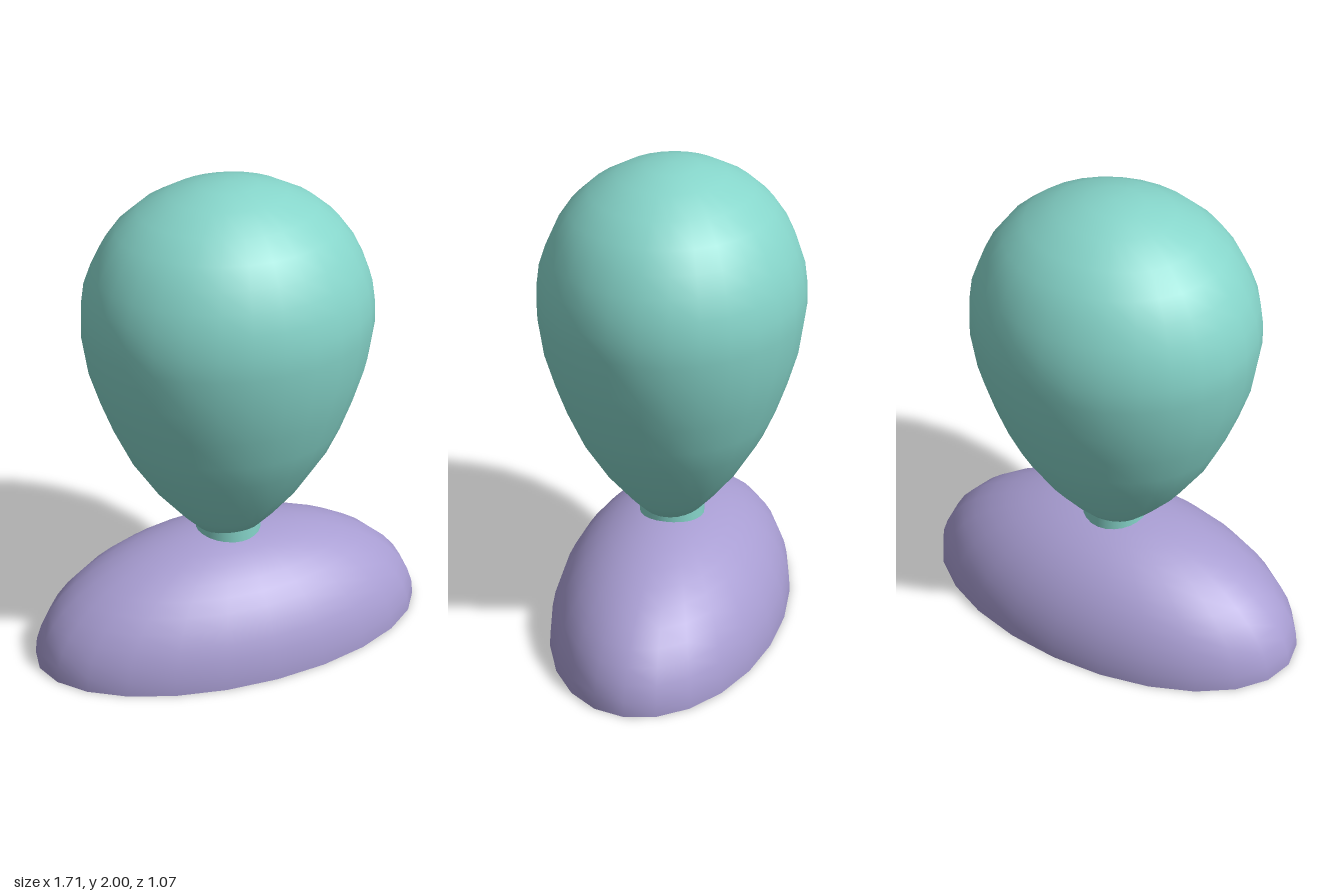
import * as THREE from 'three';

const teal = new THREE.MeshStandardMaterial({ color: 0x86d5ca, side: THREE.DoubleSide });
teal.name = 'teal';
const lavender = new THREE.MeshStandardMaterial({ color: 0xa89dd2, side: THREE.DoubleSide });
lavender.name = 'lavender';

function part(name, geometry, material) {
  const mesh = new THREE.Mesh(geometry, material);
  mesh.name = name;
  return mesh;
}

export function createModel() {
  const group = new THREE.Group();

  // Hollow half-ellipsoid base, open underneath
  const base = new THREE.SphereGeometry(1, 24, 12, 0, Math.PI * 2, 0, Math.PI / 2);
  base.scale(0.855, 0.485, 0.485);
  group.add(part('base', base, lavender));

  // Short round neck that reaches down inside the base
  const neck = new THREE.CylinderGeometry(0.135, 0.135, 0.315, 24, 1, true);
  neck.translate(0, 0.3575, 0);
  group.add(part('neck', neck, teal));

  const plug = new THREE.CircleGeometry(0.135, 24);
  plug.rotateX(Math.PI / 2);
  plug.translate(0, 0.23, 0);
  group.add(part('neckPlug', plug, teal));

  // Egg-shaped head, tapering to the neck and slightly flattened front to back
  const profile = [
    [0, 0.495], [0.135, 0.5], [0.21, 0.575], [0.31, 0.69], [0.42, 0.855], [0.475, 0.97],
    [0.525, 1.1], [0.57, 1.24], [0.595, 1.4], [0.593, 1.49], [0.58, 1.58], [0.55, 1.66],
    [0.51, 1.74], [0.45, 1.82], [0.36, 1.895], [0.24, 1.957], [0.12, 1.99], [0, 2],
  ].map(([r, y]) => new THREE.Vector2(r, y));
  const head = new THREE.LatheGeometry(profile, 28);
  head.scale(1, 1, 0.9);
  head.computeVertexNormals();
  // Match normals across the lathe seam
  const n = head.attributes.normal;
  const last = 28 * profile.length;
  const a = new THREE.Vector3(), b = new THREE.Vector3();
  profile.forEach((p, i) => {
    a.fromBufferAttribute(n, i).add(b.fromBufferAttribute(n, last + i)).normalize();
    n.setXYZ(i, a.x, a.y, a.z);
    n.setXYZ(last + i, a.x, a.y, a.z);
  });
  // Crown normals point straight up
  for (let s = 0; s <= 28; s++) n.setXYZ(s * profile.length + profile.length - 1, 0, 1, 0);
  group.add(part('head', head, teal));

  return group;
}
